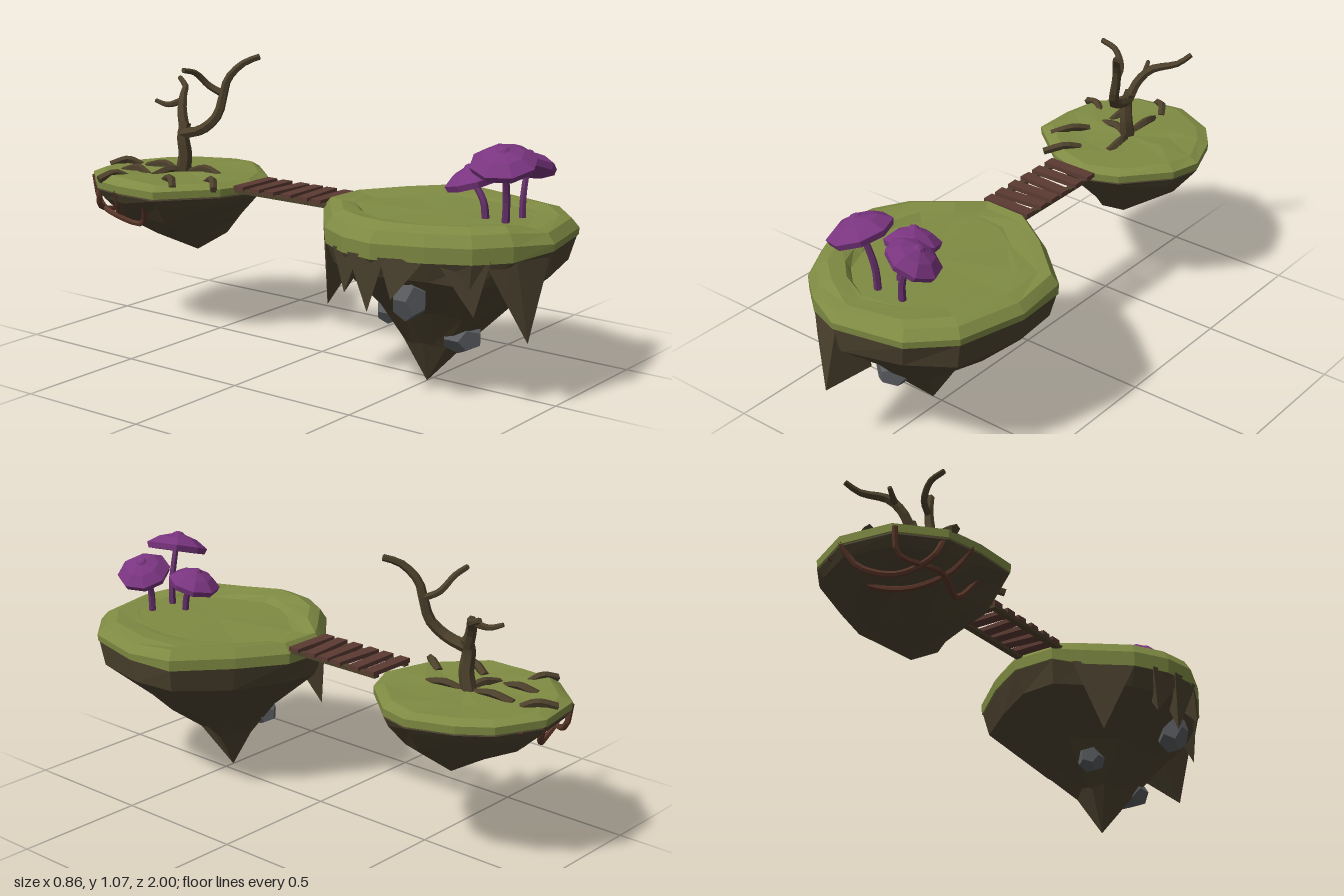
import * as THREE from 'three';
import { ConvexGeometry } from 'three/addons/geometries/ConvexGeometry.js';

const mat = (name, color) => {
  const m = new THREE.MeshStandardMaterial({ color, flatShading: true });
  m.name = name;
  return m;
};
const V = (p) => new THREE.Vector3(...p);

export function createModel() {
  const grass = mat('grass', 0x7f8b43), earth = mat('earth', 0x4c422f), stone = mat('stone', 0x595b5f);
  const bark = mat('bark', 0x4c402b), plank = mat('plank', 0x5a3a32), vine = mat('vine', 0x593629);
  const cap = mat('mushroom cap', 0x7a3580), stem = mat('mushroom stem', 0x643069);
  const model = new THREE.Group();
  let seed = 7;
  const rand = () => ((seed = (seed * 16807) % 2147483647) / 2147483647) * 2 - 1;

  const add = (name, geo, material, parent = model) => {
    const m = new THREE.Mesh(geo, material);
    m.name = name;
    parent.add(m);
    return m;
  };

  // Skin over rings of points, listed from top to bottom; skips collapsed faces
  const loft = (rings) => {
    const pos = [], n = rings[0].length;
    const tri = (a, b, c) => {
      const area = b.clone().sub(a).cross(c.clone().sub(a)).length();
      if (area > 1e-7) for (const p of [a, b, c]) pos.push(p.x, p.y, p.z);
    };
    for (let r = 0; r + 1 < rings.length; r++) for (let i = 0; i < n; i++) {
      const j = (i + 1) % n, u = rings[r], l = rings[r + 1];
      tri(l[i], u[i], l[j]);
      tri(l[j], u[i], u[j]);
    }
    const g = new THREE.BufferGeometry();
    g.setAttribute('position', new THREE.Float32BufferAttribute(pos, 3));
    g.computeVertexNormals();
    return g;
  };

  // Ring = outline scaled about its centre, moved to a new centre, at height y (number or rule)
  const ringOf = (outline, ox, oz) => (y, sx, sz = sx, cx = ox, cz = oz, j = 0) =>
    outline.map(([x, z]) => new THREE.Vector3(
      cx + (x - ox) * sx + rand() * j,
      (typeof y === 'function' ? y(x, z) : y) + rand() * j,
      cz + (z - oz) * sz + rand() * j));

  // Tapered blunt-ended limb along a smooth path
  const limb = (name, pts, r0, r1, material, parent, seg = 12, sides = 6) => {
    const curve = new THREE.CatmullRomCurve3(pts.map(V));
    const g = new THREE.TubeGeometry(curve, seg, r0, sides), p = g.attributes.position;
    for (let j = 0; j <= seg; j++) {
      const u = Math.min(Math.max((j - 1) / (seg - 2), 0), 1);
      const from = curve.getPointAt(j / seg), to = curve.getPointAt(u);
      const k = j === 0 || j === seg ? 0 : 1 + (r1 / r0 - 1) * u;
      for (let s = 0; s <= sides; s++) {
        const i = j * (sides + 1) + s;
        const v = new THREE.Vector3().fromBufferAttribute(p, i).sub(from).multiplyScalar(k).add(to);
        p.setXYZ(i, v.x, v.y, v.z);
      }
    }
    return add(name, g, material, parent);
  };

  // Large island
  const big = ringOf([[0.07, 0.09], [0.24, 0.2], [0.42, 0.36], [0.43, 0.56], [0.365, 0.81], [0.23, 0.94],
    [-0.03, 0.995], [-0.18, 0.93], [-0.29, 0.84], [-0.365, 0.7], [-0.43, 0.53], [-0.41, 0.4],
    [-0.34, 0.275], [-0.2, 0.16], [-0.1, 0.085]], 0, 0.53);
  const leftSide = (a, b) => (x) => (x < -0.1 ? a : b);
  add('largeIslandGrass', loft([
    big(0.612, 0), big(0.612, 0.6, 0.7, 0, 0.53, 0.004), big(leftSide(0.632, 0.613), 0.66, 0.74, 0, 0.53, 0.006),
    big(leftSide(0.642, 0.617), 0.82, 0.86, 0, 0.53, 0.004),
    big((x, z) => (x < -0.1 ? 0.625 : z > 0.5 ? 0.608 : 0.625), 0.94),
    big((x, z) => (x < -0.1 ? 0.585 : z > 0.5 ? 0.575 : 0.59), 1),
    big(leftSide(0.53, 0.55), 0.995), big(0.54, 0.9)]), grass);
  add('largeIslandEarth', loft([
    big(0.58, 0.97), big(leftSide(0.53, 0.55), 0.985), big(0.455, 0.92, 0.93, 0, 0.53, 0.012),
    big(0.31, 0.54, 0.57, 0, 0.54, 0.016), big(0.16, 0.2, 0.27, -0.045, 0.53, 0.012),
    big(0.005, 0, 0, -0.04, 0.5)]), earth);

  // Hanging earth wedges under the rim
  add('frontWedge', new ConvexGeometry([[-0.25, 0.54, 0.86], [-0.03, 0.54, 0.98], [-0.16, 0.54, 0.93],
    [0.01, 0.35, 0.86], [-0.12, 0.245, 0.955], [-0.2, 0.42, 0.9], [-0.1, 0.5, 0.78]].map(V)), earth);
  [
    [[-0.34, 0.54, 0.73], [-0.24, 0.54, 0.88], [-0.26, 0.345, 0.83], [-0.2, 0.5, 0.75]],
    [[-0.42, 0.54, 0.58], [-0.42, 0.54, 0.43], [-0.39, 0.335, 0.49], [-0.32, 0.5, 0.5]],
    [[-0.36, 0.54, 0.7], [-0.42, 0.54, 0.56], [-0.41, 0.4, 0.6], [-0.3, 0.5, 0.62]],
    [[-0.425, 0.54, 0.48], [-0.38, 0.54, 0.34], [-0.37, 0.38, 0.38], [-0.28, 0.5, 0.42]],
    [[-0.34, 0.54, 0.28], [-0.16, 0.54, 0.13], [-0.24, 0.28, 0.21], [-0.18, 0.45, 0.3]],
  ].forEach((p) => add('hangingWedge', new ConvexGeometry(p.map(V)), earth));

  // Embedded boulders
  [[-0.065, 0.205, 0.66, 0.075, 0.06, 0.08], [-0.3, 0.385, 0.6, 0.06, 0.085, 0.07],
    [-0.08, 0.25, 0.37, 0.05, 0.05, 0.06]].forEach(([x, y, z, sx, sy, sz]) => {
    const b = add('boulder', new THREE.DodecahedronGeometry(1), stone);
    b.position.set(x, y, z);
    b.scale.set(sx, sy, sz);
  });

  // Small island
  const small = ringOf([[0, -1], [0.17, -0.915], [0.25, -0.81], [0.31, -0.645], [0.28, -0.53], [0.14, -0.37],
    [0, -0.31], [-0.15, -0.36], [-0.345, -0.52], [-0.345, -0.69], [-0.32, -0.83], [-0.195, -0.97]], -0.02, -0.65);
  add('smallIslandGrass', loft([
    small(0.615, 0), small(0.615, 0.5, 0.5, -0.02, -0.65, 0.006), small(0.618, 0.88, 0.88, -0.02, -0.65, 0.006),
    small(0.6, 1), small(0.572, 0.995), small(0.57, 0.9)]), grass);
  add('smallIslandEarth', loft([
    small(0.59, 0.96), small(0.565, 0.985), small(0.535, 0.92, 0.92, -0.02, -0.65, 0.006),
    small(0.46, 0.68, 0.68, -0.02, -0.64, 0.012), small(0.385, 0.38, 0.4, -0.01, -0.62, 0.01),
    small(0.305, 0, 0, 0, -0.61)]), earth);

  // Vines wrapped under the back of the small island
  [
    [[-0.3, 0.59, -0.82], [-0.28, 0.5, -0.86], [-0.16, 0.46, -0.89], [-0.04, 0.5, -0.95], [0, 0.58, -0.99]],
    [[-0.33, 0.58, -0.72], [-0.28, 0.49, -0.76], [-0.15, 0.44, -0.82], [-0.02, 0.47, -0.88], [0.08, 0.57, -0.95]],
    [[-0.2, 0.59, -0.96], [-0.2, 0.5, -0.94], [-0.27, 0.47, -0.8], [-0.24, 0.44, -0.68], [-0.31, 0.56, -0.6]],
  ].forEach((p) => limb('vine', p, 0.011, 0.011, vine, model, 18));

  // Bare tree and its roots
  const tree = new THREE.Group();
  tree.name = 'bareTree';
  model.add(tree);
  limb('trunk', [[-0.025, 0.6, -0.66], [-0.025, 0.68, -0.645], [-0.03, 0.75, -0.65], [-0.015, 0.8, -0.65]], 0.03, 0.022, bark, tree);
  limb('backBranch', [[-0.02, 0.77, -0.65], [0, 0.84, -0.68], [0.04, 0.89, -0.71], [0.12, 0.915, -0.77], [0.145, 0.94, -0.82]], 0.022, 0.01, bark, tree);
  limb('backTwig', [[0.02, 0.875, -0.7], [-0.01, 0.86, -0.745], [-0.03, 0.875, -0.79]], 0.014, 0.008, bark, tree);
  limb('frontBranch', [[-0.03, 0.76, -0.65], [-0.02, 0.785, -0.56], [0.01, 0.84, -0.51], [0.03, 0.92, -0.495],
    [0.04, 0.98, -0.48], [0.075, 1.04, -0.43], [0.12, 1.062, -0.39]], 0.023, 0.012, bark, tree, 16);
  limb('frontTwig', [[0.03, 0.92, -0.495], [0.01, 0.95, -0.55], [-0.035, 1.0, -0.575], [-0.1, 1.018, -0.58]], 0.014, 0.01, bark, tree);
  [
    [-0.1, -0.97, -0.02, -0.88], [-0.155, -0.85, -0.15, -0.72], [-0.33, -0.81, -0.23, -0.76],
    [-0.18, -0.61, -0.27, -0.49], [-0.11, -0.46, -0.2, -0.35], [-0.16, -0.69, -0.03, -0.65],
    [-0.03, -0.84, -0.03, -0.68], [0.0, -0.5, -0.02, -0.64],
  ].forEach(([x0, z0, x1, z1]) => limb('root', [[x0, 0.608, z0],
    [(x0 + x1) / 2 + 0.012, 0.628, (z0 + z1) / 2], [x1, 0.608, z1]], 0.017, 0.014, bark, tree, 8, 5));

  // Bridge
  const bridge = new THREE.Group();
  bridge.name = 'bridge';
  model.add(bridge);
  [-0.29, -0.215, -0.14, -0.07, 0, 0.07].forEach((z, i) => {
    const p = add('plank', new THREE.BoxGeometry(0.2, 0.016, 0.045), plank, bridge);
    p.position.set(-0.03, 0.609, z);
    p.rotation.y = [0, 0.02, -0.06, 0.03, 0.09, 0][i];
  });
  for (const x of [-0.115, 0.05]) {
    add('rail', new THREE.BoxGeometry(0.024, 0.014, 0.45), bark, bridge).position.set(x, 0.597, -0.085);
  }

  // Mushrooms: cap centre, radius, cap tilt direction, stem path
  [
    { c: [-0.062, 0.835, 0.81], r: 0.118, up: [-0.3, 0.93, 0.1], s: [[-0.01, 0.6, 0.79], [-0.015, 0.7, 0.795], [-0.055, 0.83, 0.81]] },
    { c: [0.015, 0.74, 0.638], r: 0.1, up: [-0.08, 0.95, -0.25], s: [[0.008, 0.6, 0.7], [0.008, 0.67, 0.69], [0.014, 0.74, 0.64]] },
    { c: [0.147, 0.785, 0.778], r: 0.102, up: [0.4, 0.88, -0.18], s: [[0.098, 0.6, 0.79], [0.102, 0.69, 0.79], [0.142, 0.785, 0.78]] },
  ].forEach(({ c, r, up, s }) => {
    const g = new THREE.Group();
    g.name = 'mushroom';
    model.add(g);
    limb('stem', s, 0.014, 0.011, stem, g, 10);
    const profile = [[0, -0.008], [0.93, -0.022], [1, 0], [0.62, 0.03], [0.2, 0.045], [0.13, 0.053], [0, 0.056]];
    const m = add('cap', new THREE.LatheGeometry(profile.map(([x, y]) => new THREE.Vector2(x * r, y)), 8), cap, g);
    m.position.set(...c);
    m.quaternion.setFromUnitVectors(new THREE.Vector3(0, 1, 0), V(up).normalize());
  });

  return model;
}
